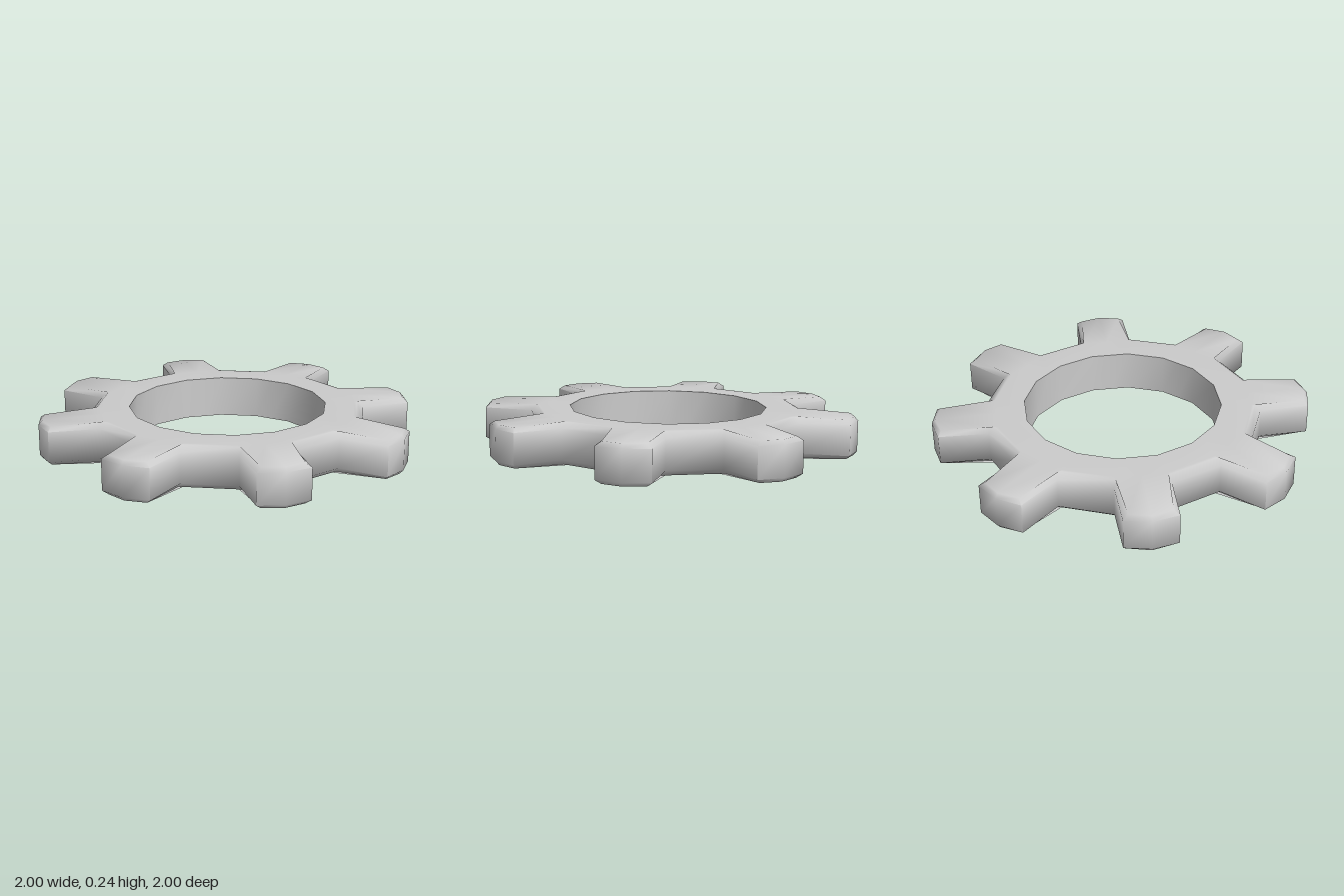
import * as THREE from 'three';
import { toCreasedNormals } from 'three/addons/utils/BufferGeometryUtils.js';

const TEETH = 8;
const HALF = Math.PI / (TEETH * 2); // half the angle of one tooth root

// One closed loop of the gear: five points per tooth, given along (u) and across (v) the tooth
function loop(root, tip, crest, rootY, tipY) {
  const points = [];
  for (let k = 0; k < TEETH; k++) {
    const a = HALF + (k * Math.PI * 2) / TEETH;
    const c = Math.cos(a), s = Math.sin(a);
    const add = (u, v, y) => points.push(new THREE.Vector3(u * c - v * s, y, u * s + v * c));
    add(root[0], -root[1], rootY);
    add(tip[0], -tip[1], tipY);
    add(crest, 0, tipY);
    add(tip[0], tip[1], tipY);
    add(root[0], root[1], rootY);
  }
  return points;
}

// A plain 16-sided loop, with points doubled up to match the toothed loops
function ringLoop(radius, y) {
  const p = [radius * Math.cos(HALF), radius * Math.sin(HALF)];
  return loop(p, p, p[0], y, y);
}

function gearGeometry() {
  // Cross-section from the top of the bore, out over the teeth and back underneath
  const loops = [
    ringLoop(0.53, 0.1125),
    ringLoop(0.69, 0.1125),
    loop([0.7, 0.115], [0.972, 0.11], 1.002, 0.11, 0.1025),
    loop([0.726, 0.144], [0.99, 0.138], 1.02, 0.08, 0.082),
    loop([0.726, 0.144], [0.99, 0.138], 1.02, -0.08, -0.082),
    loop([0.7, 0.115], [0.972, 0.11], 1.002, -0.11, -0.1025),
    ringLoop(0.69, -0.1125),
    ringLoop(0.53, -0.1125),
  ];
  const positions = [];
  const tri = (a, b, c) => {
    const area = b.clone().sub(a).cross(c.clone().sub(a)).length();
    if (area > 1e-7) positions.push(...a.toArray(), ...b.toArray(), ...c.toArray());
  };
  loops.forEach((near, l) => {
    const far = loops[(l + 1) % loops.length];
    for (let i = 0; i < near.length; i++) {
      const j = (i + 1) % near.length;
      tri(near[i], near[j], far[j]);
      tri(near[i], far[j], far[i]);
    }
  });
  const geometry = new THREE.BufferGeometry();
  geometry.setAttribute('position', new THREE.Float32BufferAttribute(positions, 3));
  return toCreasedNormals(geometry, 1.4);
}

export function createModel() {
  const model = new THREE.Group();
  model.name = 'gearWheel';
  const gear = new THREE.Mesh(gearGeometry(), new THREE.MeshStandardMaterial({ color: 0xcccccc }));
  gear.name = 'toothedRing';
  // The wheel lies very slightly tilted
  gear.rotation.set(-0.011, 0, -0.007);
  gear.position.y = 0.1225;
  model.add(gear);
  return model;
}
